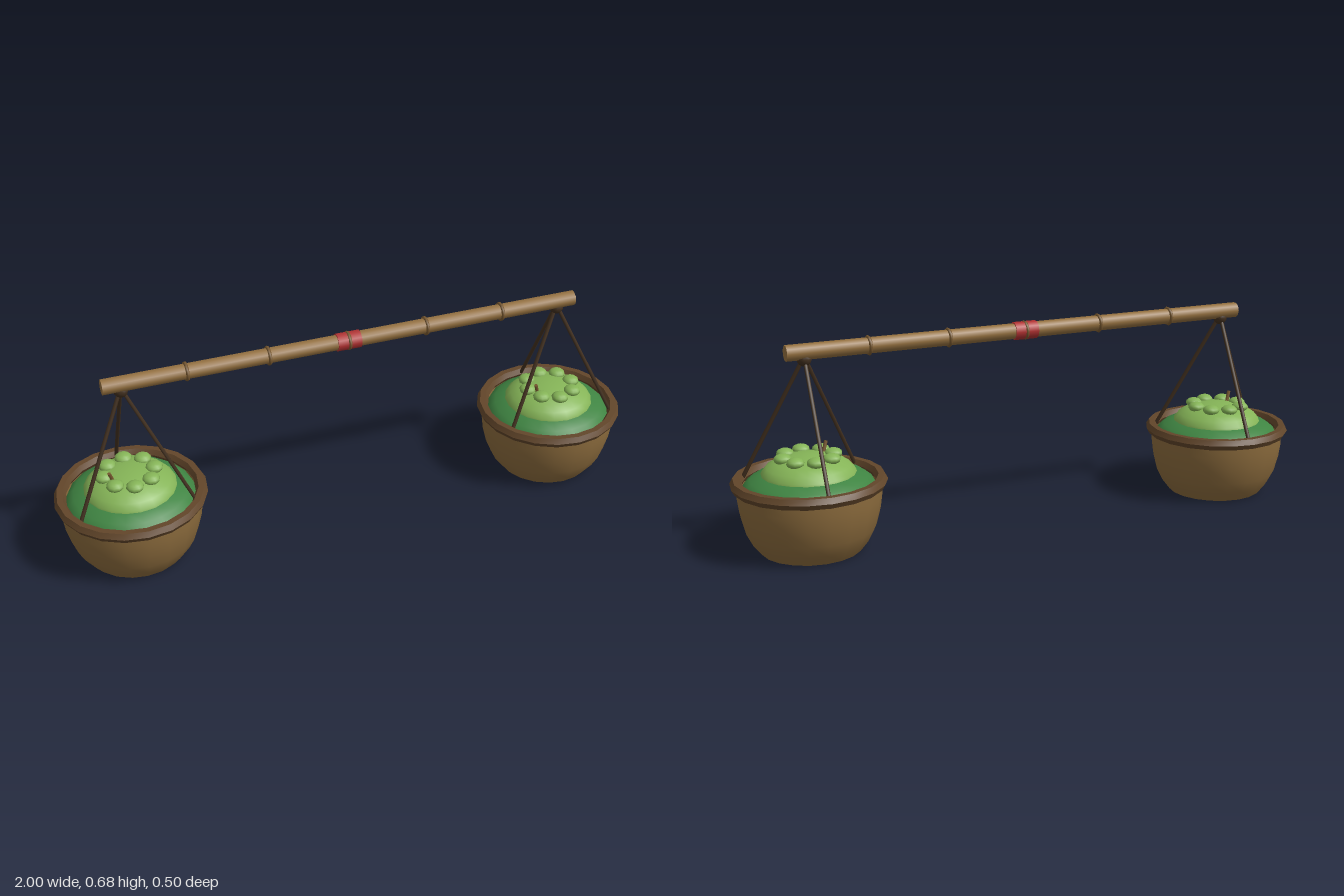
import * as THREE from 'three';
import { toCreasedNormals } from 'three/addons/utils/BufferGeometryUtils.js';

const mat = (name, color, side = THREE.FrontSide) => {
  const m = new THREE.MeshStandardMaterial({ color, side });
  m.name = name;
  return m;
};

export function createModel() {
  const bamboo = mat('bamboo', 0x94703f);
  const node = mat('bambooNode', 0x78582f);
  const wicker = mat('wicker', 0x8a6a3c, THREE.DoubleSide);
  const rimBrown = mat('rimBrown', 0x62462a);
  const ropeBrown = mat('rope', 0x42301f);
  const cloth = mat('redCloth', 0xb03030);
  const leafGreen = mat('leafGreen', 0x3f8442);
  const fruitGreen = mat('fruitGreen', 0x85b457);

  const add = (parent, name, geometry, material, x = 0, y = 0, z = 0) => {
    const mesh = new THREE.Mesh(geometry, material);
    mesh.name = name;
    mesh.position.set(x, y, z);
    parent.add(mesh);
    return mesh;
  };
  // Thin cylinder running between two points
  const rod = (parent, name, a, b, r, material) => {
    const d = b.clone().sub(a);
    const mesh = add(parent, name, new THREE.CylinderGeometry(r, r, d.length(), 6), material);
    mesh.position.copy(a).add(b).multiplyScalar(0.5);
    mesh.quaternion.setFromUnitVectors(new THREE.Vector3(0, 1, 0), d.normalize());
  };
  // Upper half of a squashed sphere
  const dome = (r, h) =>
    new THREE.SphereGeometry(r, 20, 6, 0, Math.PI * 2, 0, Math.PI / 2).scale(1, h / r, 1);

  const model = new THREE.Group();
  model.name = 'carryingPole';
  const poleY = 0.645;

  // Pole with bamboo nodes and a cloth grip
  add(model, 'pole', new THREE.CylinderGeometry(0.026, 0.026, 1.62, 10).rotateZ(Math.PI / 2), bamboo, 0, poleY);
  for (let i = -2; i <= 2; i++) {
    const ring = new THREE.TorusGeometry(0.027, 0.006, 6, 10).rotateY(Math.PI / 2);
    add(model, 'poleNode', ring, node, i * 0.27, poleY);
  }
  add(model, 'clothGrip', new THREE.CylinderGeometry(0.03, 0.03, 0.08, 10).rotateZ(Math.PI / 2), cloth, 0, poleY);

  // Basket wall profile, from the centre of the base up to the rim
  const profile = [
    [0, 0], [0.163, 0], [0.19, 0.035], [0.21, 0.075], [0.224, 0.13], [0.23, 0.175], [0.23, 0.22],
  ].map(([r, y]) => new THREE.Vector2(r, y));
  const basketGeometry = toCreasedNormals(new THREE.LatheGeometry(profile, 20), 0.7);
  const rimGeometry = toCreasedNormals(new THREE.TorusGeometry(0.23, 0.02, 6, 20).rotateX(Math.PI / 2), 0.7);

  for (const side of [-1, 1]) {
    const load = new THREE.Group();
    load.name = side > 0 ? 'leftLoad' : 'rightLoad';
    load.position.x = side * 0.75;
    model.add(load);

    add(load, 'basket', basketGeometry, wicker);
    add(load, 'basketRim', rimGeometry, rimBrown, 0, 0.225);

    // Leaf lining, heaped produce and its stem
    add(load, 'leafLining', dome(0.215, 0.075), leafGreen, 0, 0.2);
    add(load, 'produceMound', dome(0.155, 0.075), fruitGreen, 0, 0.24);
    for (let i = 0; i < 8; i++) {
      const a = (i / 8) * Math.PI * 2;
      const fruit = new THREE.SphereGeometry(0.029, 10, 8).scale(1, 0.6, 1);
      add(load, 'fruit', fruit, fruitGreen, Math.cos(a) * 0.083, 0.307, Math.sin(a) * 0.083);
    }
    rod(load, 'stem', new THREE.Vector3(-0.055, 0.295, 0.025), new THREE.Vector3(-0.07, 0.341, 0.034), 0.006, node);

    // Knot under the pole and three ropes down to the rim
    add(load, 'ropeKnot', new THREE.SphereGeometry(0.024, 10, 8), ropeBrown, 0, 0.622);
    for (let i = 0; i < 3; i++) {
      const a = -Math.PI / 2 + (i * Math.PI * 2) / 3;
      const c = Math.cos(a), s = Math.sin(a);
      rod(load, 'rope', new THREE.Vector3(c * 0.008, 0.615, s * 0.008),
        new THREE.Vector3(c * 0.215, 0.23, s * 0.215), 0.0065, ropeBrown);
    }
  }
  return model;
}
